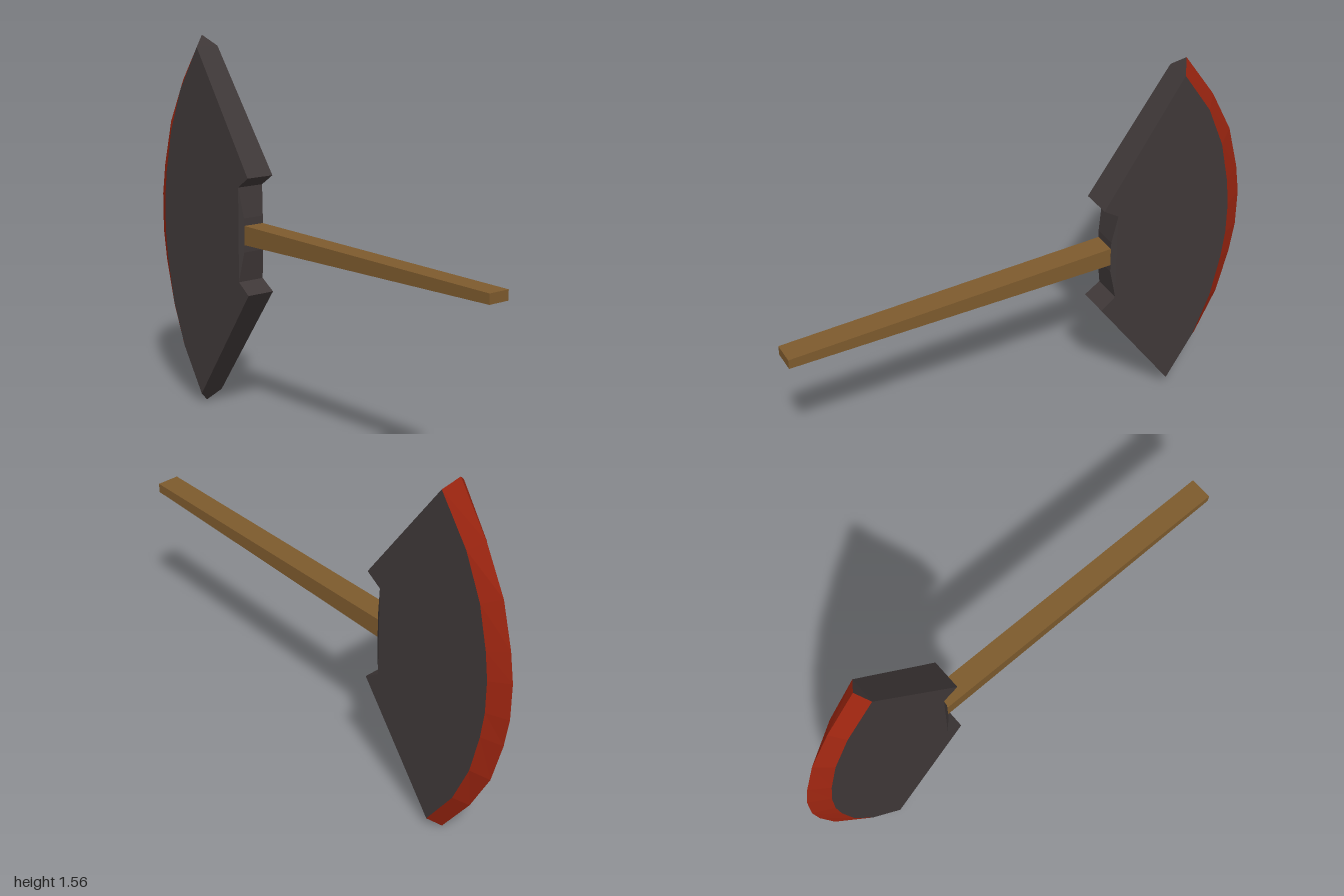
import * as THREE from 'three';

const MID = 0.78; // height of the symmetry plane

function meshFrom(name, tris, material) {
  const g = new THREE.BufferGeometry();
  g.setAttribute('position', new THREE.Float32BufferAttribute(tris.flat(2), 3));
  g.computeVertexNormals();
  const m = new THREE.Mesh(g, material);
  m.name = name;
  return m;
}

export function createModel() {
  const group = new THREE.Group();
  group.name = 'battleAxe';
  const steel = new THREE.MeshStandardMaterial({ color: 0x3f3838 });
  steel.name = 'darkSteel';
  const red = new THREE.MeshStandardMaterial({ color: 0x9c2510 });
  red.name = 'redEdge';
  const wood = new THREE.MeshStandardMaterial({ color: 0x7d5a2d });
  wood.name = 'wood';

  // upper half of the blade outline as [z, height above the middle, half width]
  const w = (z) => 0.063 + 0.03 * (z + 0.32);
  const at = (z, y, x = w(z)) => [z, y - MID, x];
  const notch = at(-0.365, 0.85, 0.048);
  const corner = at(-0.385, 0.975);
  const heel = at(-0.32, 1.02);
  const inner = [[-0.665, 1.515], [-0.79, 1.33], [-0.865, 1.15], [-0.905, 0.97], [-0.92, 0.85]]
    .map(([z, y]) => at(z, y));
  const outer = [[-0.7, 1.56], [-0.836, 1.365], [-0.93, 1.18], [-0.98, 0.99], [-1, 0.86]]
    .map(([z, y]) => at(z, y, 0));
  const low = ([z, y, x]) => [z, -y, x];
  const pos = ([z, y, x], side) => [x * side, MID + y, z];

  const body = [], edge = [];
  // adds a polygon to the +x side and its mirror to the -x side
  const bothSides = (list, pts) => {
    for (const side of [1, -1]) {
      const p = pts.map((q) => pos(q, side));
      if (side < 0) p.reverse();
      for (let i = 1; i < p.length - 1; i++) list.push([p[0], p[i], p[i + 1]]);
    }
  };

  // flat cheeks of the blade
  const strip = [notch, corner, ...inner];
  for (let i = 0; i < strip.length - 1; i++) {
    const a = strip[i], b = strip[i + 1];
    bothSides(body, [a, low(a), low(b), b]);
  }
  bothSides(body, [corner, inner[0], heel]);
  bothSides(body, [low(corner), low(heel), low(inner[0])]);

  // back rim joining the two cheeks
  const half = [notch, corner, heel, inner[0]];
  const rim = [...half.map(low).reverse(), ...half];
  for (let i = 0; i < rim.length - 1; i++) {
    const a = pos(rim[i], 1), b = pos(rim[i + 1], 1);
    const c = pos(rim[i + 1], -1), d = pos(rim[i], -1);
    body.push([a, b, c], [a, c, d]);
  }
  // pointed ends of the rim
  const tip = inner[0], point = outer[0];
  body.push([pos(tip, 1), pos(point, 1), pos(tip, -1)]);
  body.push([pos(low(tip), 1), pos(low(tip), -1), pos(low(point), 1)]);

  // bevelled cutting edge
  const innerArc = [...inner, ...inner.map(low).reverse()];
  const outerArc = [...outer, ...outer.map(low).reverse()];
  for (let i = 0; i < innerArc.length - 1; i++) {
    bothSides(edge, [innerArc[i], innerArc[i + 1], outerArc[i + 1], outerArc[i]]);
  }

  group.add(meshFrom('blade', body, steel), meshFrom('cuttingEdge', edge, red));

  // handle, tapering towards the grip end
  const handleGeo = new THREE.BoxGeometry(0.094, 0.08, 1.4);
  const p = handleGeo.attributes.position;
  for (let i = 0; i < p.count; i++) {
    if (p.getZ(i) > 0) p.setY(i, p.getY(i) * 0.5);
  }
  handleGeo.computeVertexNormals();
  const handle = new THREE.Mesh(handleGeo, wood);
  handle.name = 'handle';
  handle.position.set(0, MID, 0.3);
  group.add(handle);

  return group;
}
